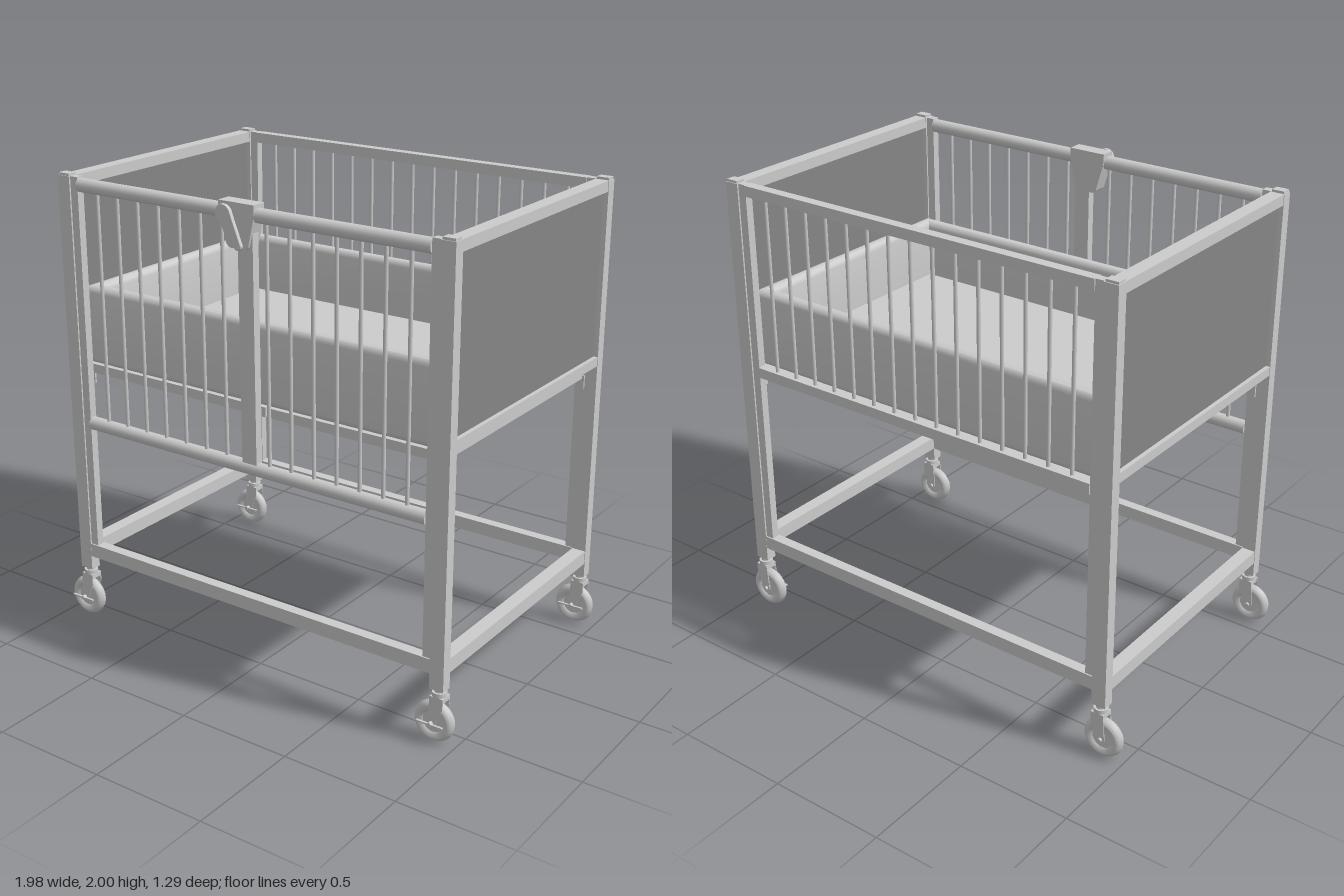
import * as THREE from 'three';
import { toCreasedNormals } from 'three/addons/utils/BufferGeometryUtils.js';

const grey = new THREE.MeshStandardMaterial({ color: 0xcccccc });
const dark = new THREE.MeshStandardMaterial({ color: 0x868686 });

// Posts: outer faces and the planes they stand in
const XL = -0.918, XR = 0.952, CX = 0.017;
const ZF = 0.576, ZB = -0.604, CZ = -0.014;

export function createModel() {
  const root = new THREE.Group();

  function add(name, geometry, parent = root, material = grey) {
    const m = new THREE.Mesh(geometry, material);
    m.name = name;
    parent.add(m);
    return m;
  }
  // Box given by its limits on each axis
  function box(name, x0, x1, y0, y1, z0, z1, parent = root, material = grey) {
    const m = add(name, new THREE.BoxGeometry(x1 - x0, y1 - y0, z1 - z0), parent, material);
    m.position.set((x0 + x1) / 2, (y0 + y1) / 2, (z0 + z1) / 2);
    return m;
  }
  function rod(name, r, length, x, y, z, axis = 'y', parent = root, sides = 20) {
    const g = new THREE.CylinderGeometry(r, r, length, sides);
    if (axis === 'x') g.rotateZ(Math.PI / 2);
    if (axis === 'z') g.rotateX(Math.PI / 2);
    const m = add(name, g, parent);
    m.position.set(x, y, z);
    return m;
  }

  // Corner posts with an inner guide rail
  for (const z of [ZF, ZB]) {
    for (const s of [-1, 1]) {
      const post = new THREE.Group();
      post.name = 'cornerPost';
      root.add(post);
      const xo = s < 0 ? XL : XR;
      const span = (a, b) => [Math.min(xo - s * a, xo - s * b), Math.max(xo - s * a, xo - s * b)];
      box('postTube', ...span(0, 0.063), 0.235, 1.99, z - 0.024, z + 0.024, post);
      box('postCap', ...span(0.004, 0.058), 1.99, 2.0, z - 0.02, z + 0.02, post);
      box('guideRail', ...span(0.063, 0.1), 0.36, 1.99, z - 0.017, z + 0.017, post);
    }
  }

  // Base frame
  for (const z of [ZF, ZB]) box('baseLongRail', XL + 0.063, XR - 0.063, 0.3, 0.36, z - 0.023, z + 0.023);
  for (const x of [XL + 0.032, XR - 0.032])
    box('baseShortRail', x - 0.03, x + 0.03, 0.3, 0.36, ZB + 0.024, ZF - 0.024);

  // End frames with dark panels
  for (const x of [XL + 0.032, XR - 0.032]) {
    const end = new THREE.Group();
    end.name = 'endFrame';
    root.add(end);
    box('endTopRail', x - 0.03, x + 0.03, 1.945, 1.99, ZB + 0.024, ZF - 0.024, end);
    box('endBottomRail', x - 0.03, x + 0.03, 1.21, 1.25, ZB + 0.024, ZF - 0.024, end);
    box('endPanel', x - 0.012, x + 0.012, 1.25, 1.945, ZB + 0.024, ZF - 0.024, end, dark);
  }

  // Fixed rear side and lowered front side, both with upright bars
  const x0 = XL + 0.1, x1 = XR - 0.1;
  box('rearTopRail', x0, x1, 1.945, 1.99, ZB - 0.022, ZB + 0.022);
  box('rearBottomRail', x0, x1, 1.15, 1.195, ZB - 0.022, ZB + 0.022);
  rod('frontTopRail', 0.029, x1 - x0, CX, 1.957, ZF, 'x');
  rod('frontBottomRail', 0.029, x1 - x0, CX, 0.93, ZF, 'x');
  for (let i = -7; i <= 7; i++) {
    const x = CX + i * 0.1063;
    rod('rearBar', 0.008, 0.76, x, 1.57, ZB, 'y', root, 12);
    if (i !== 0) rod('frontBar', 0.008, 0.98, x, 1.443, ZF, 'y', root, 12);
  }
  box('latchColumn', 0, 0.071, 0.945, 1.93, ZF - 0.018, ZF + 0.018);

  // Latch housing and lever on the front top rail
  const latch = new THREE.Group();
  latch.name = 'latch';
  root.add(latch);
  const plate = new THREE.Shape([
    [-0.082, 2], [-0.08, 1.955], [-0.045, 1.835], [-0.03, 1.823], [0.046, 1.823],
    [0.058, 1.835], [0.087, 1.955], [0.087, 2],
  ].map(p => new THREE.Vector2(...p)));
  add('latchHousing', new THREE.ExtrudeGeometry(plate, { depth: 0.064, bevelEnabled: false }), latch)
    .position.z = 0.541;
  const lever = new THREE.Shape();
  lever.absarc(0, 0, 0.033, 0, Math.PI, false);
  lever.absarc(0, -0.135, 0.014, Math.PI, 2 * Math.PI, false);
  lever.closePath();
  const handle = add('latchLever', new THREE.ExtrudeGeometry(lever,
    { depth: 0.011, bevelSize: 0.003, bevelThickness: 0.003, bevelSegments: 2, curveSegments: 10 }), latch);
  handle.position.set(-0.035, 1.96, 0.626);
  handle.rotation.z = 0.52;
  rod('latchPivot', 0.02, 0.03, -0.035, 1.96, 0.612, 'z', latch);

  // Mattress support: frame, cross slats and edge brackets
  const bx0 = -0.855, bx1 = 0.889, bz0 = -0.58, bz1 = 0.545;
  for (const [a, b] of [[bz0, bz0 + 0.04], [bz1 - 0.04, bz1]])
    box('supportLongRail', bx0, bx1, 1.145, 1.185, a, b);
  for (const [a, b] of [[bx0, bx0 + 0.04], [bx1 - 0.04, bx1]])
    box('supportShortRail', a, b, 1.145, 1.185, bz0 + 0.04, bz1 - 0.04);
  for (let i = -3; i <= 3; i++)
    box('supportSlat', CX + i * 0.24 - 0.02, CX + i * 0.24 + 0.02, 1.15, 1.19, bz0 + 0.04, bz1 - 0.04);
  box('supportBracket', -0.012, 0.09, 1.15, 1.19, bz1, bz1 + 0.012);
  for (const x of [bx0 + 0.01, bx1 - 0.01])
    for (const z of [bz0 + 0.004, bz1 - 0.004])
      box('supportHook', x - 0.02, x + 0.02, 1.1, 1.16, z - 0.004, z + 0.004);

  // Mattress floor and padded bumper: rounded profile mitred round a rectangle
  box('mattress', bx0 + 0.03, bx1 - 0.03, 1.187, 1.27, bz0 + 0.03, bz1 - 0.03);
  const w = 0.058, r = w / 2, profile = [];
  const arc = (cx, cy, a, b) => {
    for (let i = 0; i <= 6; i++) {
      const t = a + (b - a) * i / 6;
      profile.push([cx - r * Math.cos(t), cy + r * Math.sin(t)]);
    }
  };
  arc(r, 1.185 + r, -Math.PI / 2, 0);
  arc(r, 1.527 - r, 0, Math.PI);
  profile.push([w, 1.265], [w, 1.185], [r, 1.185]);
  const pos = [];
  const corner = (k, [d, y]) => [
    k === 0 || k === 3 ? bx0 + d : bx1 - d, y,
    k < 2 ? bz1 - d : bz0 + d,
  ];
  for (let k = 0; k < 4; k++) {
    const n = (k + 1) % 4;
    for (let i = 0; i < profile.length - 1; i++) {
      const p = profile[i], q = profile[i + 1];
      pos.push(...corner(k, p), ...corner(n, p), ...corner(n, q));
      pos.push(...corner(k, p), ...corner(n, q), ...corner(k, q));
    }
  }
  const bumper = new THREE.BufferGeometry();
  bumper.setAttribute('position', new THREE.Float32BufferAttribute(pos, 3));
  add('paddedBumper', toCreasedNormals(bumper, 0.7));

  // Castors: wheel trails the stem towards the right
  const tyre = [[0, -0.012], [0.045, -0.014], [0.052, -0.021], [0.07, -0.023], [0.082, -0.015], [0.088, 0],
    [0.082, 0.015], [0.07, 0.023], [0.052, 0.021], [0.045, 0.014], [0, 0.012]];
  const wheelGeo = toCreasedNormals(
    new THREE.LatheGeometry(tyre.map(p => new THREE.Vector2(...p)), 32).rotateX(Math.PI / 2), 0.7);
  const fork = new THREE.Shape([[-0.028, 0.205], [-0.036, 0.085], [-0.018, 0.066], [-0.002, 0.085],
    [0.03, 0.16], [0.03, 0.205]].map(p => new THREE.Vector2(...p)));
  const forkGeo = new THREE.ExtrudeGeometry(fork, { depth: 0.004, bevelEnabled: false });
  for (const x of [XL + 0.031, XR - 0.031]) {
    for (const z of [ZF, ZB]) {
      const castor = new THREE.Group();
      castor.name = 'castor';
      castor.position.set(x, 0, z - 0.003);
      root.add(castor);
      add('wheel', wheelGeo, castor).position.set(-0.018, 0.088, 0);
      rod('axle', 0.009, 0.085, -0.018, 0.088, 0.004, 'z', castor, 12);
      for (const s of [-1, 1]) add('forkArm', forkGeo, castor).position.z = s * 0.026 - 0.002;
      box('forkCrown', -0.028, 0.03, 0.185, 0.205, -0.026, 0.026, castor);
      rod('swivelCollar', 0.03, 0.018, 0, 0.214, 0, 'y', castor);
      rod('stem', 0.02, 0.05, 0, 0.235, 0, 'y', castor);
      box('brakePedal', -0.077, 0.04, 0.086, 0.092, 0.036, 0.046, castor);
    }
  }
  return root;
}
